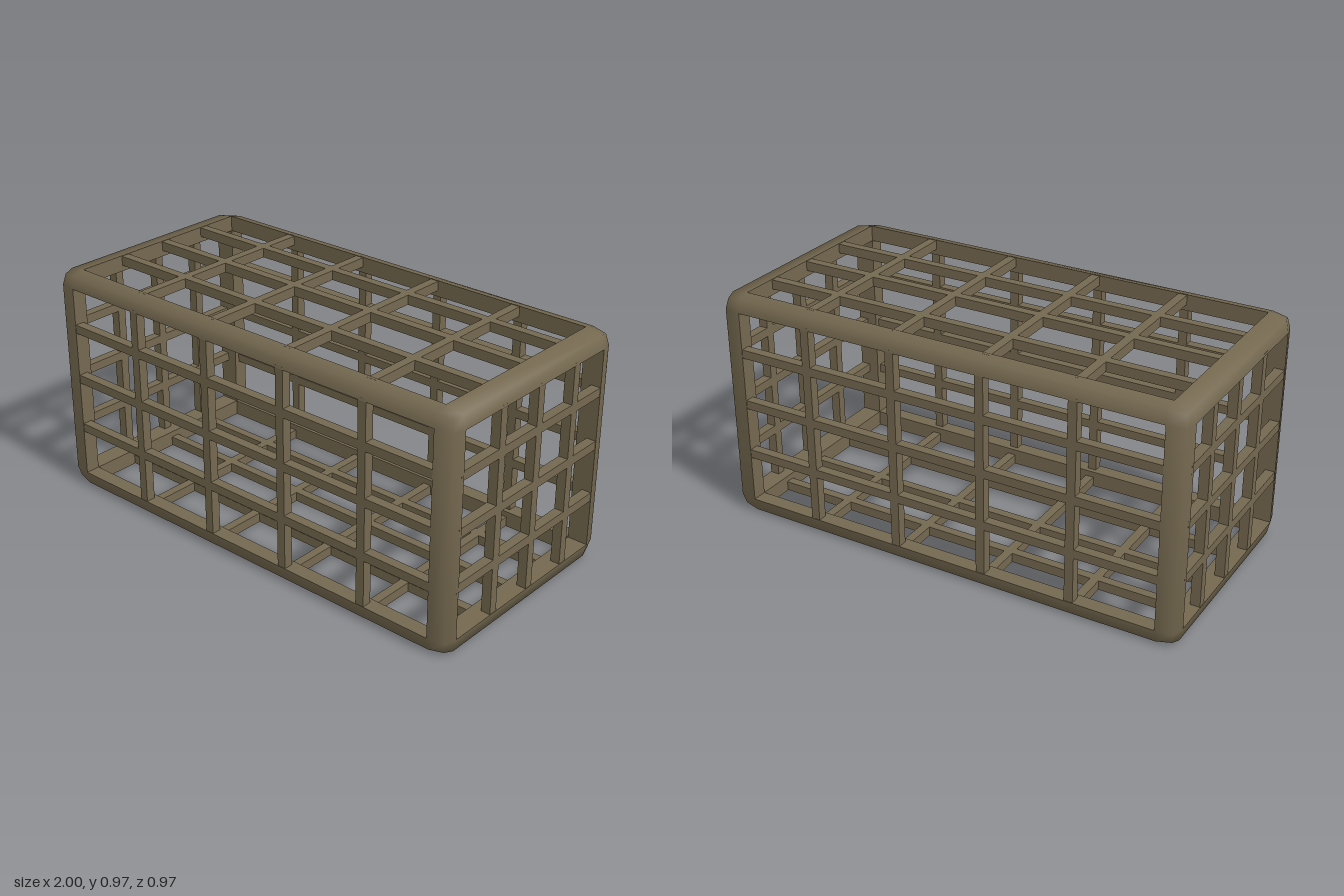
import * as THREE from 'three';
import { mergeGeometries, toCreasedNormals } from 'three/addons/utils/BufferGeometryUtils.js';

const CENTER_Y = 0.487;
const OUTER = [1.0, 0.487, 0.487];    // half size of the cage
const INNER = [0.914, 0.42, 0.424];   // half size of the window openings
const BAR = 0.037, DEPTH = 0.04, FLUSH = 0.002;

// Bar positions along each axis, measured from the cage centre
const BARS = [
  [-0.559, -0.177, 0.211, 0.601],
  [-0.205, 0.02, 0.245],
  [-0.252, -0.026, 0.2],
];

// Frame block: sign 0 on an axis spans the opening, +-1 fills the rim.
// Vertices on two or three outer sides are pulled in to soften the edges.
function rimBlock(signs) {
  const geo = new THREE.BoxGeometry(2, 2, 2);
  const pos = geo.attributes.position;
  for (let i = 0; i < pos.count; i++) {
    const c = [pos.getX(i), pos.getY(i), pos.getZ(i)];
    const isOuter = c.map((v, a) => signs[a] !== 0 && v === signs[a]);
    const pull = [0, 0, 0.012, 0.022][isOuter.filter(Boolean).length];
    const p = c.map((v, a) => {
      if (signs[a] === 0) return v * INNER[a];
      return signs[a] * (isOuter[a] ? OUTER[a] - pull : INNER[a]);
    });
    pos.setXYZ(i, ...p);
  }
  geo.deleteAttribute('normal');
  geo.deleteAttribute('uv');
  return geo;
}

// Twelve edge beams and eight corners joined into one smooth frame
function frameGeometry() {
  const parts = [];
  for (const x of [-1, 0, 1]) for (const y of [-1, 0, 1]) for (const z of [-1, 0, 1]) {
    const zeros = [x, y, z].filter(v => v === 0).length;
    if (zeros <= 1) parts.push(rimBlock([x, y, z]));
  }
  return toCreasedNormals(mergeGeometries(parts), 1.25);
}

// Grid of crossing bars filling the opening on one side of the cage
function gridPanel(axis, side, material, name) {
  const panel = new THREE.Group();
  panel.name = name;
  const others = [0, 1, 2].filter(a => a !== axis);
  others.forEach((along, k) => {
    const across = others[1 - k];
    for (const at of BARS[across]) {
      const size = [], place = [0, 0, 0];
      size[axis] = DEPTH;
      size[along] = 2 * INNER[along] + 0.02;
      size[across] = BAR;
      place[axis] = side * (OUTER[axis] - FLUSH - DEPTH / 2);
      place[across] = at;
      const bar = new THREE.Mesh(new THREE.BoxGeometry(...size), material);
      bar.name = 'gridBar';
      bar.position.set(...place);
      panel.add(bar);
    }
  });
  return panel;
}

export function createModel() {
  const model = new THREE.Group();
  model.name = 'cage';
  const material = new THREE.MeshStandardMaterial({ color: 0x74684f });

  const frame = new THREE.Mesh(frameGeometry(), material);
  frame.name = 'outerFrame';
  model.add(frame);

  const names = [['rightGrid', 'leftGrid'], ['bottomGrid', 'topGrid'], ['backGrid', 'frontGrid']];
  names.forEach(([low, high], axis) => {
    model.add(gridPanel(axis, -1, material, low), gridPanel(axis, 1, material, high));
  });

  for (const part of model.children) part.position.y = CENTER_Y;
  return model;
}
